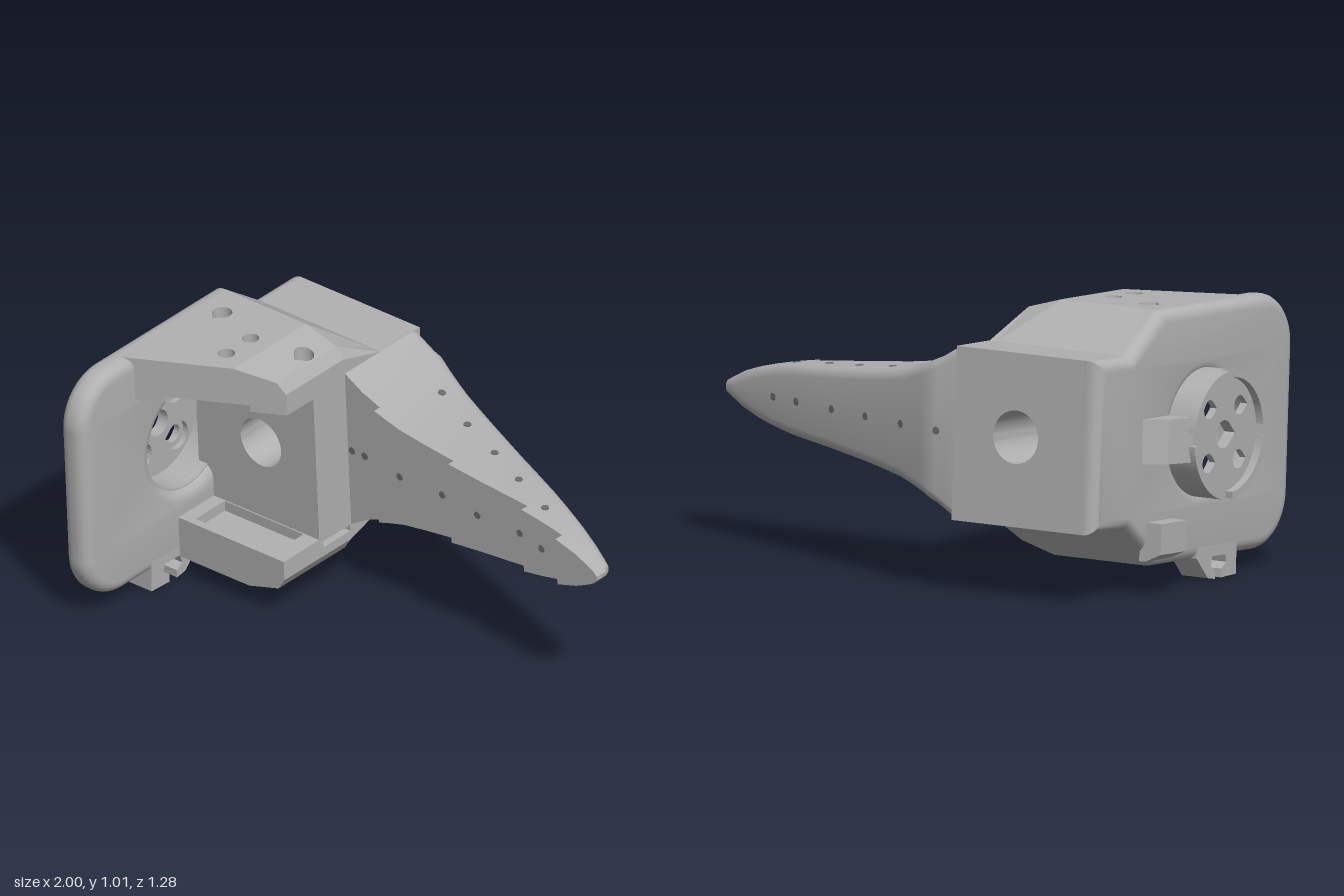
import * as THREE from 'three';
import { toCreasedNormals } from 'three/addons/utils/BufferGeometryUtils.js';

const grey = new THREE.MeshStandardMaterial({ color: 0xb0b0b0 });
grey.name = 'grey plastic';
const dark = new THREE.MeshStandardMaterial({ color: 0x6a6a6a });
dark.name = 'dark bore';

const lerp = THREE.MathUtils.lerp;
// piecewise-linear lookup in a list of [x, value]
function table(rows, x) {
  for (let i = 1; i < rows.length; i++) {
    const [a, va] = rows[i - 1], [b, vb] = rows[i];
    if (x <= b) return lerp(va, vb, Math.max(0, (x - a) / (b - a)));
  }
  return rows[rows.length - 1][1];
}

const poly = (pts) => new THREE.Shape(pts.map(([x, y]) => new THREE.Vector2(x, y)));
const circle = (x, y, r) => new THREE.Path().absarc(x, y, r, 0, Math.PI * 2, true);
// round hole with a pointed side; dir is the angle of the point
function teardrop(x, y, r, dir) {
  const pts = [];
  for (let i = 0; i <= 18; i++) {
    const a = dir + Math.PI / 4 + (i / 18) * Math.PI * 1.5;
    pts.push([x + r * Math.cos(a), y + r * Math.sin(a)]);
  }
  pts.push([x + r * 1.414 * Math.cos(dir), y + r * 1.414 * Math.sin(dir)]);
  return new THREE.Path(pts.map(([u, v]) => new THREE.Vector2(u, v)));
}
function extrude(shape, depth, holes = [], extra = {}) {
  shape.holes.push(...holes);
  return new THREE.ExtrudeGeometry(shape, { depth, bevelEnabled: false, curveSegments: 32, ...extra });
}
// shape drawn in (-z, y), running from x0 to x1
const alongX = (shape, x0, x1, holes) => extrude(shape, x1 - x0, holes).rotateY(Math.PI / 2).translate(x0, 0, 0);
// shape drawn in (x, -z), running from y0 to y1
const alongY = (shape, y0, y1, holes) => extrude(shape, y1 - y0, holes).rotateX(-Math.PI / 2).translate(0, y0, 0);

// fin measures along x
const finHalf = (x) => table([[-0.28, 0.31], [-0.2, 0.262], [-0.1, 0.222], [0, 0.195], [0.1, 0.18], [0.2, 0.167],
  [0.4, 0.146], [0.6, 0.13], [0.7, 0.115], [0.8, 0.096], [0.9, 0.066], [0.96, 0.038], [0.985, 0.024], [1, 0.008]], x);
const finBack = (x) => table([[-0.17, -0.625], [0.95, -0.205], [0.985, -0.185], [1, -0.155]], x);
const steps = [[-0.12, -0.23], [0.25, -0.2], [0.62, -0.172], [0.81, -0.14], [1.01, -0.105]];
const finFront = (x) => steps.find(([end]) => x < end)[1];

function finGeometry() {
  const stations = [];
  for (const x of [-0.3, -0.28, -0.24, -0.2, -0.17, -0.12, -0.06, 0, 0.1, 0.18, 0.25, 0.32, 0.4, 0.5, 0.62,
    0.7, 0.76, 0.81, 0.86, 0.9, 0.93, 0.96, 0.985, 1]) {
    if (steps.some(([end]) => end === x)) stations.push([x, finFront(x - 0.001)]);
    stations.push([x, finFront(x)]);
  }
  const pos = [], idx = [], n = 12;
  for (const [x, f] of stations) {
    const h = finHalf(x), b = finBack(x), r = Math.min(0.04, h * 0.9);
    pos.push(x, -h, f, x, h, f);
    for (const s of [1, -1]) for (let k = 0; k < 5; k++) {
      const a = (s > 0 ? k : 4 - k) / 4 * Math.PI / 2;
      pos.push(x, s * (h - r + r * Math.cos(a)), b + r - r * Math.sin(a));
    }
  }
  for (let i = 0; i < stations.length - 1; i++) for (let j = 0; j < n; j++) {
    const a = i * n + j, b = i * n + (j + 1) % n;
    idx.push(a, a + n, b, b, a + n, b + n);
  }
  const e = (stations.length - 1) * n;
  for (let j = 1; j < n - 1; j++) idx.push(e, e + j + 1, e + j);
  const g = new THREE.BufferGeometry();
  g.setAttribute('position', new THREE.Float32BufferAttribute(pos, 3));
  g.setIndex(idx);
  return toCreasedNormals(g, 0.5);
}

export function createModel() {
  const root = new THREE.Group();
  root.name = 'bracketWithFin';
  const body = new THREE.Group();
  body.name = 'tiltedBody';
  body.position.y = 0.54;
  body.rotation.x = 0.055;
  root.add(body);
  const add = (name, geo, mat = grey) => {
    const m = new THREE.Mesh(geo, mat);
    m.name = name;
    body.add(m);
    return m;
  };

  // side plate with rounded rim and large round opening
  const b = 0.045, top = 0.455 - b, zf = 0.617 - b, r = 0.15;
  const plate = new THREE.Shape();
  plate.moveTo(-zf, top - r);
  plate.lineTo(-zf, -top + r);
  plate.absarc(-zf + r, -top + r, r, Math.PI, Math.PI * 1.5, false);
  plate.lineTo(0.21, -top);
  plate.lineTo(0.405, -0.31 + b);
  plate.lineTo(0.63 - b, -0.31 + b);
  plate.lineTo(0.63 - b, 0.31 - b);
  plate.lineTo(0.405, 0.31 - b);
  plate.lineTo(0.21, top);
  plate.lineTo(-zf + r, top);
  plate.absarc(-zf + r, top - r, r, Math.PI / 2, Math.PI, false);
  const plateGeo = extrude(plate, 0.11 - 2 * b, [circle(-0.05, 0, 0.25)],
    { bevelEnabled: true, bevelSize: b, bevelThickness: b, bevelSegments: 5 });
  plateGeo.rotateY(Math.PI / 2).translate(-0.885 + b, 0, 0);
  add('sidePlate', toCreasedNormals(plateGeo, 0.6));

  // socket ring, notched rim and perforated disc
  const disc = (rad) => new THREE.Shape().absarc(-0.05, 0, rad, 0, Math.PI * 2, false);
  add('socketRing', toCreasedNormals(alongX(disc(0.23), -0.965, -0.8, [circle(-0.05, 0, 0.205)]), 0.5));
  for (let i = 0; i < 4; i++) {
    const a0 = i * Math.PI / 2 + 0.1, a1 = a0 + Math.PI / 2 - 0.2;
    const arc = new THREE.Shape();
    arc.absarc(-0.05, 0, 0.23, a0, a1, false);
    arc.absarc(-0.05, 0, 0.205, a1, a0, true);
    add('socketRim', toCreasedNormals(alongX(arc, -1, -0.965), 0.5));
  }
  const discHoles = (rad) => [teardrop(-0.05, 0, 0.05, Math.PI),
    ...[[1, 1], [1, -1], [-1, 1], [-1, -1]].map(([u, v]) => teardrop(-0.05 + u * 0.096, v * 0.096, rad, Math.PI))];
  add('socketDisc', alongX(disc(0.21), -0.97, -0.945, discHoles(0.034)));
  add('socketDiscFace', alongX(disc(0.21), -0.945, -0.925, discHoles(0.054)));

  // outer tab, lower lug and bottom clip
  add('outerTab', alongY(poly([[-0.86, 0.34], [-0.885, 0.34], [-0.95, 0.27], [-0.98, 0.16], [-0.86, 0.16]]), -0.08, 0.08));
  add('lowerLug', extrude(poly([[-0.86, -0.29], [-0.95, -0.29], [-0.95, -0.4], [-0.885, -0.43], [-0.86, -0.43]]), 0.16)
    .translate(0, 0, -0.3));
  add('bottomClip', alongX(poly([[0.28, -0.41], [0.285, -0.526], [0.19, -0.531], [0.19, -0.5], [0.22, -0.478],
    [0.21, -0.45], [0.13, -0.45], [0.12, -0.485], [0.15, -0.503], [0.15, -0.533], [0.105, -0.526], [0.03, -0.45],
    [0.03, -0.41]].map(([z, y]) => [-z, y])), -0.885, -0.775));

  // rear block with a through bore
  add('rearBlock', toCreasedNormals(extrude(poly([[-0.84, -0.31], [-0.28, -0.31], [-0.28, 0.31], [-0.84, 0.31]]), 0.57,
    [circle(-0.54, 0.01, 0.095)]).translate(0, 0, -0.63), 0.5));

  // shelves and sloped backs, lowered toward the outer edge
  const cuts = [-0.84, -0.45, -0.31, -0.28];
  const drop = (x) => table([[-0.45, 0], [-0.31, 0.04], [-0.28, 0.085]], x);
  const lower = (g) => {
    const p = g.attributes.position;
    for (let i = 0; i < p.count; i++) {
      const y = p.getY(i);
      if (Math.abs(y) > 0.4) p.setY(i, y - Math.sign(y) * drop(p.getX(i)));
    }
    g.computeVertexNormals();
    return g;
  };
  for (const s of [1, -1]) {
    const front = (x) => (s > 0 ? 0.08 - 0.5 * (x + 0.28) : 0.13);
    const label = s > 0 ? 'top' : 'bottom';
    for (let i = 0; i < 3; i++) {
      const x0 = cuts[i], x1 = cuts[i + 1];
      const holes = [];
      const back = s > 0 ? 0.1 : 0.17;
      if (i === 0) {
        holes.push(teardrop(-0.735, back, 0.036, -Math.PI / 2));
        if (s > 0) holes.push(circle(-0.54, 0.03, 0.03), circle(-0.54, -0.1, 0.031));
      }
      if (i === 1) holes.push(teardrop(-0.352, back, 0.036, -Math.PI / 2));
      const outline = poly([[x0, 0.224], [x0, -front(x0)], [x1, -front(x1)], [x1, 0.224]]);
      add(label + 'Shelf', lower(s > 0 ? alongY(outline, 0.31, 0.455, holes) : alongY(outline, -0.455, -0.335, holes)));
      add(label + 'Slope', lower(alongX(poly([[0.224, s * 0.3], [0.224, s * 0.455], [0.42, s * 0.31], [0.42, s * 0.3]]), x0, x1)));
    }
  }
  // raised lip around the bottom shelf pocket, and a short lip under the top shelf
  add('pocketLip', alongY(poly([[-0.8, 0.08], [-0.8, -0.13], [-0.28, -0.13], [-0.28, 0.08]]), -0.335, -0.295,
    [new THREE.Path([[-0.72, 0.055], [-0.35, 0.055], [-0.35, -0.1], [-0.72, -0.1]].map((p) => new THREE.Vector2(...p)))]));
  for (const [x0, x1] of [[-0.8, -0.68], [-0.4, -0.28]]) {
    const f = (x) => -0.08 + 0.5 * (x + 0.28);
    add('topLip', alongY(poly([[x0, 0.06], [x0, f(x0)], [x1, f(x1)], [x1, 0.06]]), 0.285, 0.31));
  }

  // tapering stepped fin
  add('fin', finGeometry());

  // small bores on the fin's faces
  const bore = (x, y, z, rx, rz) => {
    const m = add('finBore', new THREE.CylinderGeometry(0.014, 0.014, 0.006, 14), dark);
    m.position.set(x, y, z);
    m.rotation.set(rx, 0, rz);
  };
  for (const x of [-0.26, -0.2, -0.01, 0.19, 0.38, 0.58, 0.71]) {
    bore(x, 0, finFront(x), Math.PI / 2, 0);
    if (x > -0.25) bore(x, 0, finBack(x), Math.PI / 2, x > -0.17 ? 0.36 : 0);
  }
  [[-0.04, -0.47], [0.14, -0.4], [0.32, -0.34], [0.49, -0.275], [0.67, -0.21]].forEach(([x, z]) => {
    const tilt = Math.atan((finHalf(x + 0.02) - finHalf(x - 0.02)) / 0.04);
    for (const s of [1, -1]) bore(x, s * finHalf(x), z, 0, s * tilt);
  });
  return root;
}
